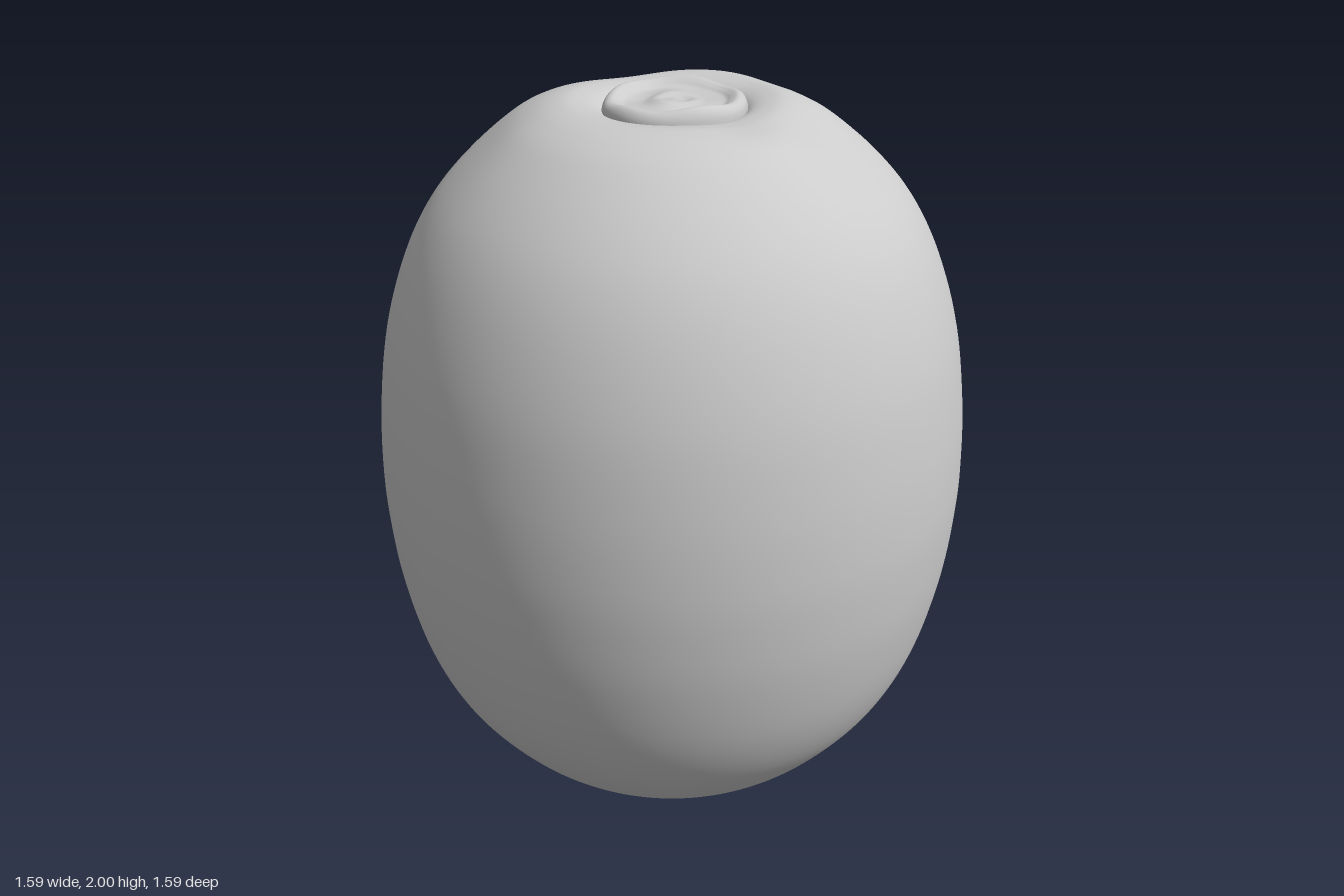
import * as THREE from 'three';
import { mergeVertices } from 'three/addons/utils/BufferGeometryUtils.js';

const SEGMENTS = 128;
const SCAR_X = -0.01, SCAR_Z = -0.02;

// Smooth surface of revolution; each vertex is then moved by a rule
function organicLathe(profile, steps, displace) {
  const curve = new THREE.SplineCurve(profile.map(([r, y]) => new THREE.Vector2(r, y)));
  const points = curve.getPoints(steps);
  points.forEach((p) => { p.x = Math.max(p.x, 0); });
  const lathe = new THREE.LatheGeometry(points, SEGMENTS);
  lathe.deleteAttribute('uv');
  lathe.deleteAttribute('normal');
  const pos = lathe.attributes.position;
  const v = new THREE.Vector3();
  for (let i = 0; i < pos.count; i++) {
    v.fromBufferAttribute(pos, i);
    displace(v, Math.hypot(v.x, v.z), Math.atan2(v.z, v.x));
    pos.setXYZ(i, v.x, v.y, v.z);
  }
  const geometry = mergeVertices(lathe, 1e-5);
  geometry.computeVertexNormals();
  return geometry;
}

const bell = (x, width) => Math.exp(-((x / width) ** 2));
const angleGap = (a, b) => Math.atan2(Math.sin(a - b), Math.cos(a - b));

// Shallow creases on the shoulder: direction, radius, angular width, radial width, depth
const dents = [
  [-2.8, 0.36, 0.45, 0.14, 0.018],
  [-1.45, 0.45, 0.3, 0.2, 0.012],
  [-0.5, 0.42, 0.4, 0.17, 0.026],
  [0.1, 0.27, 0.35, 0.08, 0.014],
  [2.3, 0.48, 0.3, 0.14, 0.01],
];

function shapeBody(v, r, a) {
  if (v.y < 1) return;
  for (const [dir, radius, aw, rw, depth] of dents) {
    const d = depth * bell(angleGap(a, dir), aw) * bell(r - radius, rw);
    v.y -= d;
    v.x -= Math.cos(a) * d * r;
    v.z -= Math.sin(a) * d * r;
  }
  // Neck of the fruit shifts to meet the off-centre scar
  const near = 1 - THREE.MathUtils.smoothstep(r, 0.17, 0.4);
  v.x += SCAR_X * near;
  v.z = v.z * (1 + 0.07 * near) + SCAR_Z * near;
}

function shapeScar(v, r, a) {
  const rim = bell(r - 0.155, 0.03);
  v.y += rim * (0.006 * Math.sin(2 * a + 0.6) + 0.004 * Math.sin(5 * a));
  // Uneven dried centre
  v.y += (1 - rim) * 0.006 * Math.sin(v.x * 38 + 1) * Math.sin(v.z * 32) * bell(r, 0.13);
  v.x += SCAR_X;
  v.z = v.z * 1.07 + SCAR_Z;
}

export function createModel() {
  const group = new THREE.Group();
  const material = new THREE.MeshStandardMaterial({ color: 0xcccccc, roughness: 0.8 });
  const add = (name, geometry) => {
    const mesh = new THREE.Mesh(geometry, material);
    mesh.name = name;
    group.add(mesh);
  };

  // Fruit body, from the blossom dimple underneath to the groove round the scar
  add('fruitBody', organicLathe([
    [0, 0.014], [0.04, 0.016], [0.07, 0.022], [0.09, 0.012], [0.13, 0.004],
    [0.2, 0.005], [0.28, 0.027], [0.38, 0.075], [0.48, 0.145], [0.57, 0.235],
    [0.66, 0.36], [0.725, 0.51], [0.77, 0.7], [0.79, 0.87], [0.795, 1.02],
    [0.785, 1.2], [0.755, 1.4], [0.7, 1.58], [0.63, 1.72], [0.54, 1.83],
    [0.43, 1.925], [0.35, 1.967], [0.28, 1.983], [0.23, 1.978], [0.195, 1.966],
    [0.175, 1.95],
  ], 150, shapeBody));

  // Stem scar: a raised lip round a shallow dished disc
  add('stemScar', organicLathe([
    [0.18, 1.94], [0.177, 1.968], [0.167, 1.985], [0.153, 1.99], [0.137, 1.982],
    [0.12, 1.972], [0.08, 1.973], [0.05, 1.981], [0.025, 1.976], [0, 1.977],
  ], 36, shapeScar));

  return group;
}
